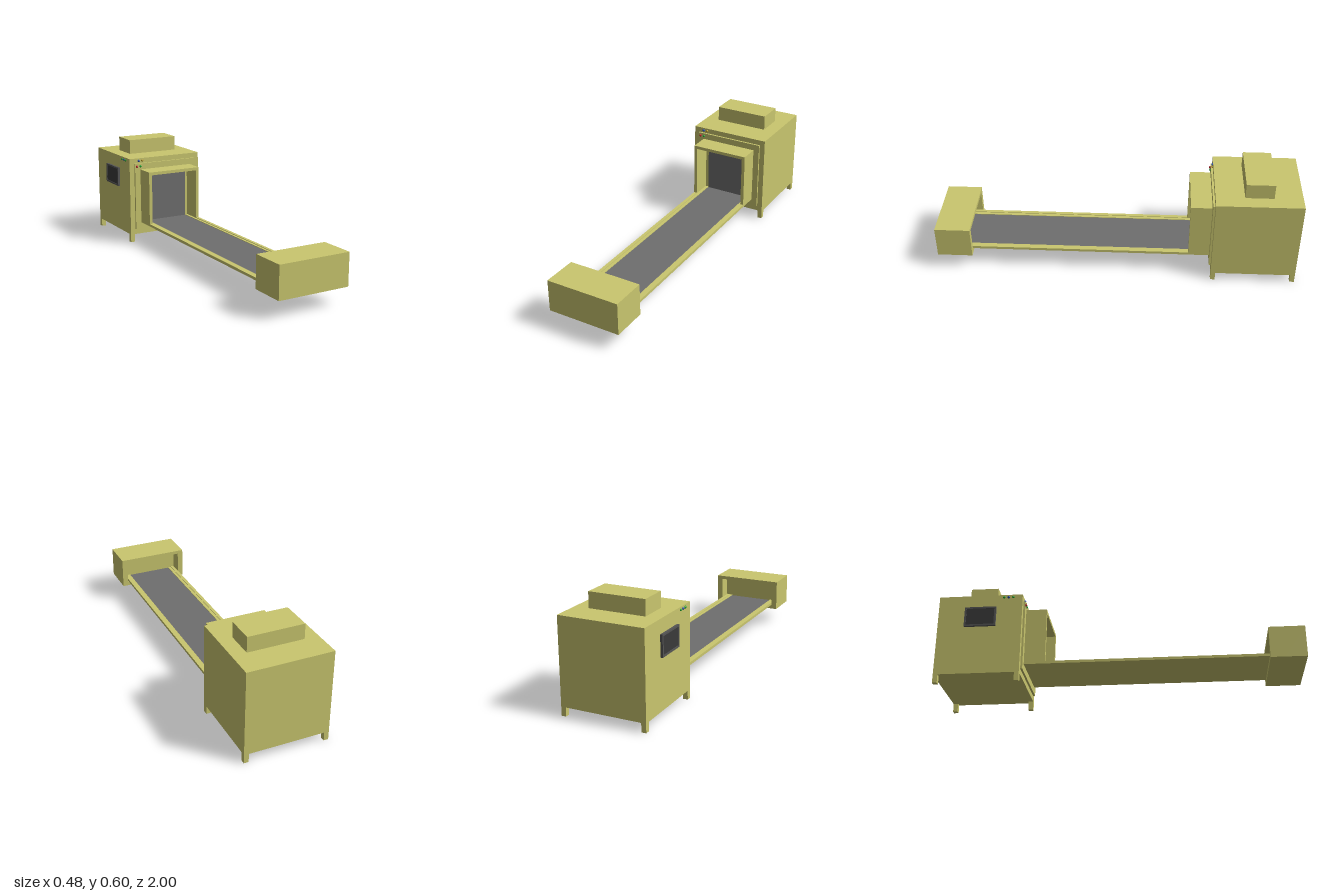
import * as THREE from 'three';

const paint = (color) => new THREE.MeshStandardMaterial({ color });
const shell = paint(0xc9c66e), grey = paint(0x6e6e6e), dark = paint(0x555555), glass = paint(0x3a3a3a);

export function createModel() {
  const model = new THREE.Group();
  model.name = 'conveyorMachine';

  // Box given by its minimum and maximum on each axis
  const box = (name, [x0, x1], [y0, y1], [z0, z1], material = shell, parent = model) => {
    const mesh = new THREE.Mesh(new THREE.BoxGeometry(x1 - x0, y1 - y0, z1 - z0), material);
    mesh.position.set((x0 + x1) / 2, (y0 + y1) / 2, (z0 + z1) / 2);
    mesh.name = name;
    parent.add(mesh);
    return mesh;
  };
  const group = (name) => {
    const g = new THREE.Group();
    g.name = name;
    model.add(g);
    return g;
  };

  // Cabinet, feet and the housing on its roof
  box('cabinet', [-0.228, 0.24], [0.048, 0.515], [-1, -0.532]);
  const leg = 0.026;
  for (const x of [-0.228, 0.24 - leg])
    for (const z of [-1, -0.532 - leg])
      box('leg', [x, x + leg], [0, 0.048], [z, z + leg]);
  box('roofHousing', [-0.15, 0.161], [0.515, 0.6], [-0.845, -0.69]);

  // Front plate and the dark opening at the back of the tunnel
  box('frontPlate', [-0.197, 0.209], [0.08, 0.485], [-0.532, -0.521]);
  box('tunnelBack', [-0.125, 0.14], [0.128, 0.431], [-0.521, -0.519], grey);

  // Hood around the belt, open at the front
  const hood = group('tunnelHood');
  const hoodZ = [-0.521, -0.405];
  box('hoodRightWall', [-0.162, -0.143], [0.12, 0.431], hoodZ, shell, hood);
  box('hoodLeftWall', [0.155, 0.174], [0.12, 0.431], hoodZ, shell, hood);
  box('hoodTop', [-0.162, 0.174], [0.431, 0.449], hoodZ, shell, hood);

  // Conveyor: tray, side rails, inner ledges and belt
  const conveyor = group('conveyor');
  const run = [-0.521, 0.88];
  box('tray', [-0.143, 0.155], [0.12, 0.125], run, shell, conveyor);
  box('rightRail', [-0.162, -0.143], [0.12, 0.135], [-0.405, 0.88], shell, conveyor);
  box('leftRail', [0.155, 0.174], [0.12, 0.135], [-0.405, 0.88], shell, conveyor);
  box('rightLedge', [-0.143, -0.125], [0.125, 0.132], run, shell, conveyor);
  box('leftLedge', [0.14, 0.155], [0.125, 0.132], run, shell, conveyor);
  box('belt', [-0.125, 0.14], [0.125, 0.129], run, grey, conveyor);

  // End housing, hollow toward the cabinet
  const end = group('endHousing');
  const mouth = [0.805, 0.88];
  box('endBlock', [-0.197, 0.212], [0.098, 0.275], [0.88, 1], shell, end);
  box('endFloor', [-0.197, 0.212], [0.098, 0.12], mouth, shell, end);
  box('endTop', [-0.197, 0.212], [0.255, 0.275], mouth, shell, end);
  box('endRightWall', [-0.197, -0.165], [0.12, 0.255], mouth, shell, end);
  box('endLeftWall', [0.18, 0.212], [0.12, 0.255], mouth, shell, end);

  // Display on the side wall, with a raised rim around the glass
  const display = group('display');
  const [y0, y1, z0, z1, rim] = [0.325, 0.44, -0.85, -0.675, 0.01];
  box('displayCase', [-0.236, -0.228], [y0, y1], [z0, z1], dark, display);
  box('displayGlass', [-0.238, -0.236], [y0 + rim, y1 - rim], [z0 + rim, z1 - rim], glass, display);
  for (const y of [y0, y1 - rim])
    box('displayRim', [-0.241, -0.236], [y, y + rim], [z0, z1], dark, display);
  for (const z of [z0, z1 - rim])
    box('displayRim', [-0.241, -0.236], [y0 + rim, y1 - rim], [z, z + rim], dark, display);

  // Round push buttons on the front and the side
  const red = paint(0xc01828), green = paint(0x22aa33), blue = paint(0x2850b4), amber = paint(0xb49a28);
  const ball = new THREE.SphereGeometry(0.007, 20, 14);
  const buttons = [
    [-0.168, 0.5, -0.53, blue], [-0.144, 0.5, -0.53, amber],
    [-0.185, 0.468, -0.52, red], [-0.161, 0.468, -0.52, green],
    [-0.228, 0.5, -0.585, green], [-0.228, 0.5, -0.61, blue], [-0.228, 0.5, -0.635, green],
  ];
  for (const [x, y, z, material] of buttons) {
    const button = new THREE.Mesh(ball, material);
    button.position.set(x, y, z);
    button.name = 'button';
    model.add(button);
  }

  return model;
}
